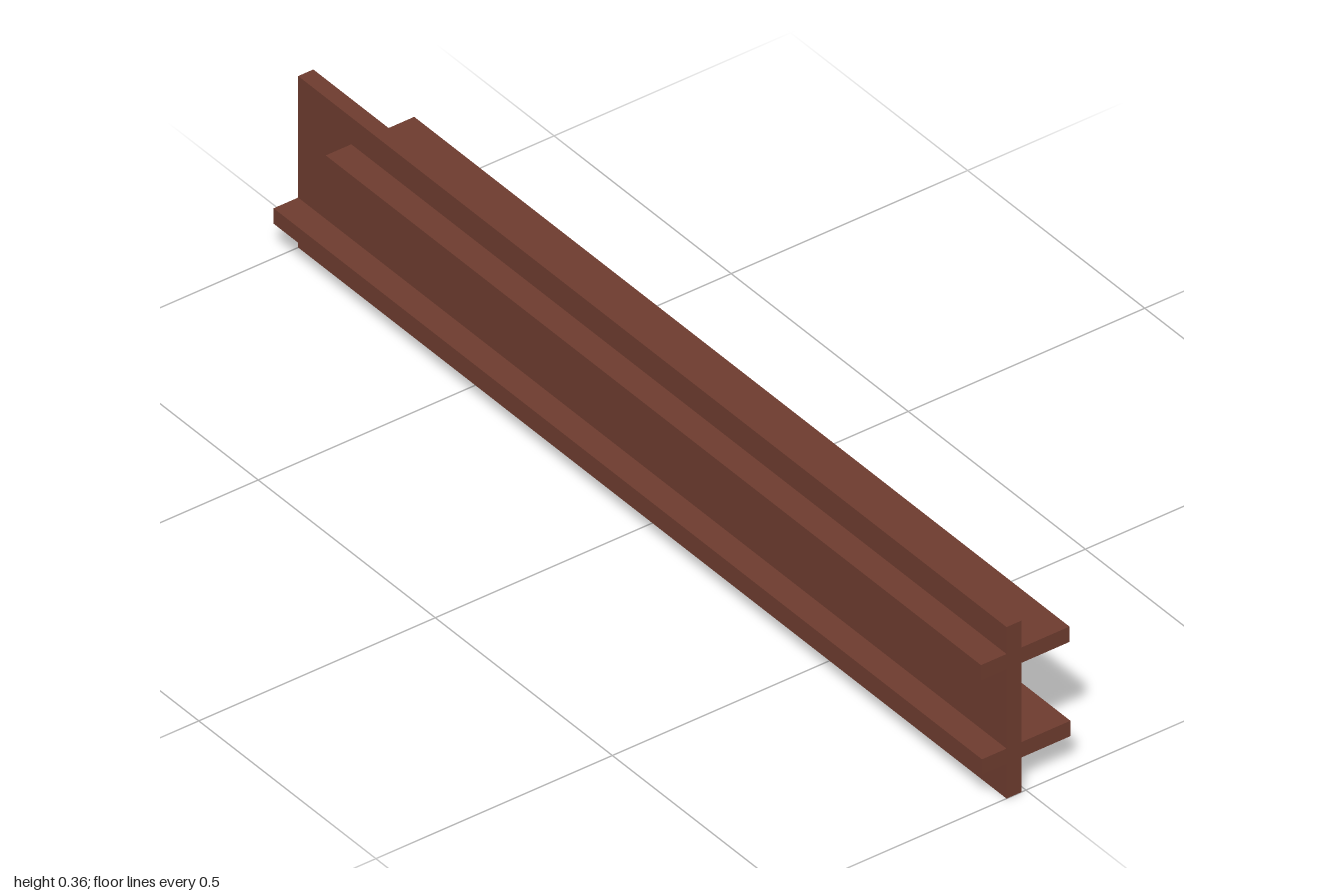
import * as THREE from 'three';

export function createModel() {
  const group = new THREE.Group();
  const material = new THREE.MeshStandardMaterial({ color: 0x6e3c2f });

  // Plank spanning the given limits on each axis
  function plank(name, [x0, x1], [y0, y1], [z0, z1]) {
    const mesh = new THREE.Mesh(new THREE.BoxGeometry(x1 - x0, y1 - y0, z1 - z0), material);
    mesh.position.set((x0 + x1) / 2, (y0 + y1) / 2, (z0 + z1) / 2);
    mesh.name = name;
    group.add(mesh);
  }

  // Upright board running the full length
  plank('uprightBoard', [-0.041, -0.009], [0, 0.357], [-1, 1]);
  // Upper shelf stops short of the back end
  plank('upperShelf', [-0.095, 0.092], [0.269, 0.301], [-0.85, 1]);
  // Lower shelf runs the full length
  plank('lowerShelf', [-0.093, 0.094], [0.072, 0.104], [-1, 1]);

  return group;
}
